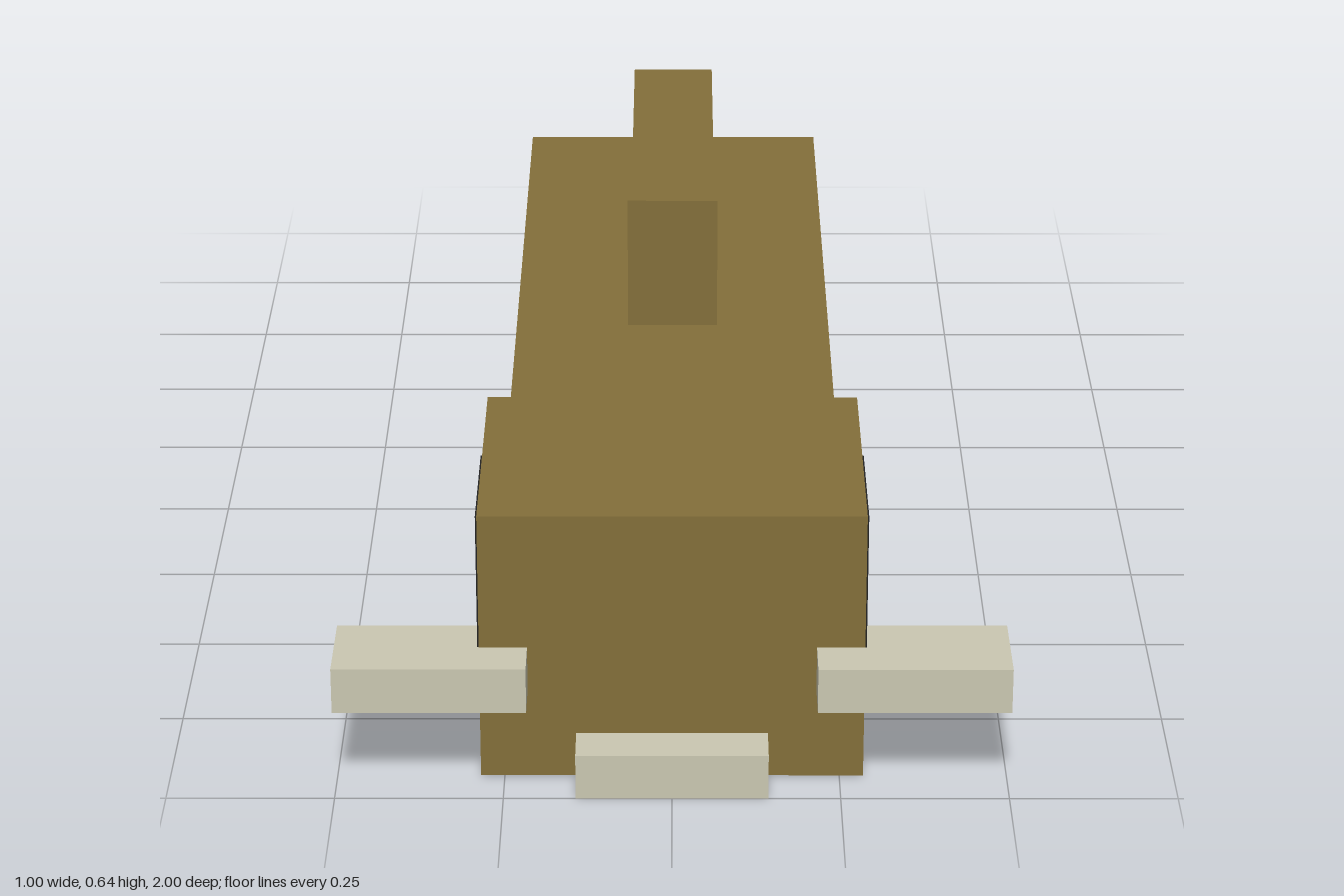
import * as THREE from 'three';

export function createModel() {
  const model = new THREE.Group();
  const mat = (name, color) => {
    const m = new THREE.MeshStandardMaterial({ color });
    m.name = name;
    return m;
  };
  const brown = mat('brownSkin', 0x836f3a);
  const belly = mat('oliveBelly', 0xa89a5f);
  const cream = mat('creamWhisker', 0xcac7b1);
  const black = mat('blackEye', 0x222222);

  // all sizes lie on a grid of 1/14 unit
  const u = 1 / 14;
  const block = (name, material, [x0, x1], [y0, y1], [z0, z1]) => {
    const geo = new THREE.BoxGeometry((x1 - x0) * u, (y1 - y0) * u, (z1 - z0) * u);
    const mesh = new THREE.Mesh(geo, material);
    mesh.name = name;
    mesh.position.set((x0 + x1) / 2 * u, (y0 + y1) / 2 * u, (z0 + z1) / 2 * u);
    model.add(mesh);
  };

  // head and body have a paler underside (the -y face of the box)
  const skin = [brown, brown, brown, belly, brown, brown];
  block('head', skin, [-4, 4], [0, 6], [7, 13]);
  block('body', skin, [-3.5, 3.5], [0, 6], [-9, 7]);
  block('tailFin', brown, [-1, 1], [0, 6], [-14, -9]);
  block('dorsalFin', brown, [-1, 1], [6, 9], [-1, 3]);

  // lower lip
  block('lowerLip', cream, [-2, 2], [0, 1], [13, 14]);

  // whiskers and eyes, mirrored
  for (const [side, s] of [['left', 1], ['right', -1]]) {
    const span = (a, b) => (s > 0 ? [a, b] : [-b, -a]);
    block(side + 'Whisker', cream, span(3, 7), [2, 3], [12, 14]);
    block(side + 'Eye', black, span(3.97, 4.03), [3, 5.99], [10, 12.99]);
  }
  return model;
}
